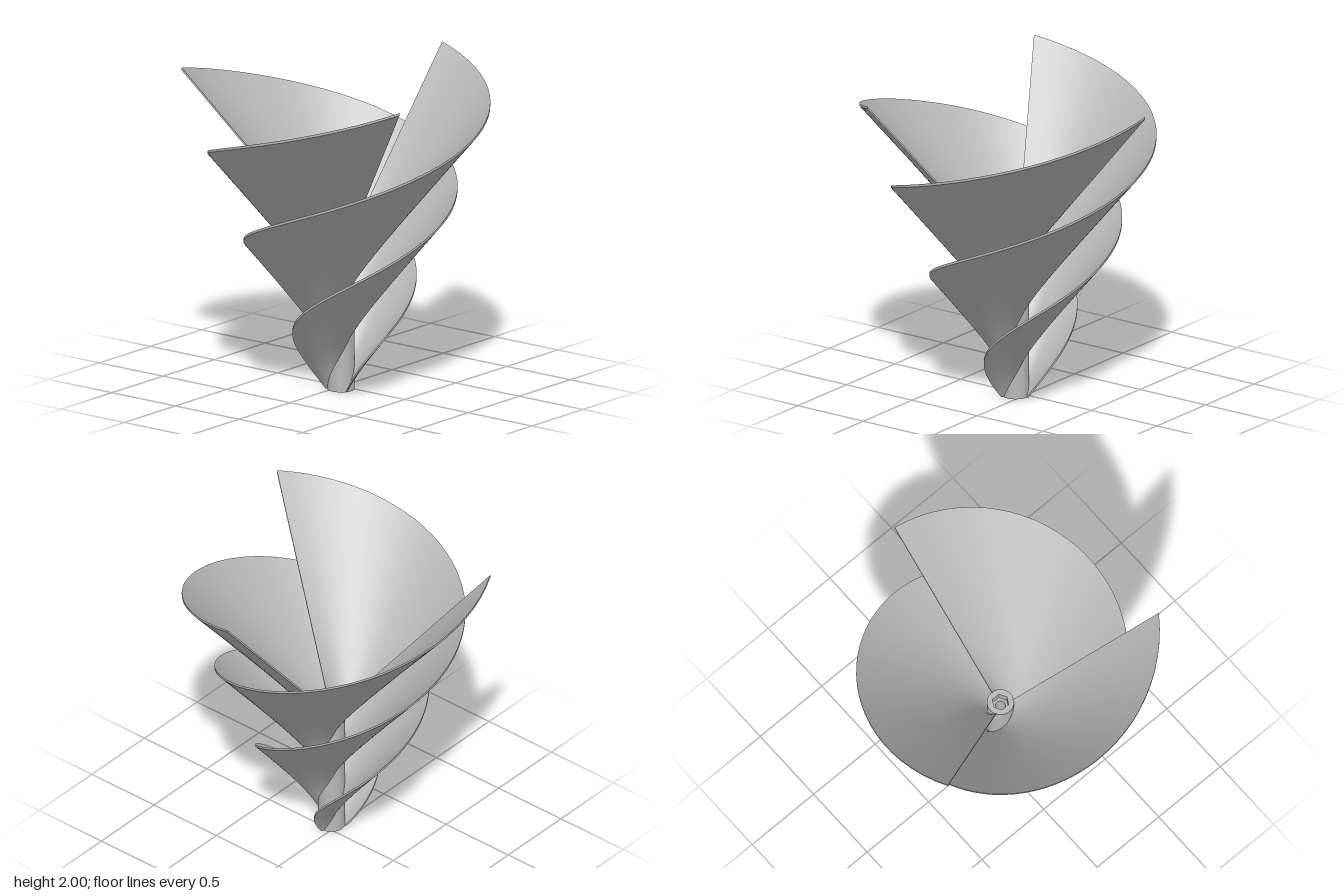
import * as THREE from 'three';
import { toCreasedNormals } from 'three/addons/utils/BufferGeometryUtils.js';

const TURN = Math.PI * 2;
const HUB_R = 0.083, HUB_H = 0.92; // hub radius and height
const SPAN = 0.907;                // blade width at its top end
const SLOPE = 1.18;                // rise of the blade per unit of radius
const THICK = 0.016;               // vertical thickness of the blade

// Smooth surface from fn(u, v, target), front side along dv x du
function surface(fn, nu, nv, flip = false) {
  const pos = [], idx = [], p = new THREE.Vector3();
  for (let i = 0; i <= nu; i++)
    for (let j = 0; j <= nv; j++) {
      fn(i / nu, j / nv, p);
      pos.push(p.x, p.y, p.z);
    }
  for (let i = 0; i < nu; i++)
    for (let j = 0; j < nv; j++) {
      const a = i * (nv + 1) + j, b = a + nv + 1;
      if (flip) idx.push(a, b, a + 1, a + 1, b, b + 1);
      else idx.push(a, a + 1, b, a + 1, b + 1, b);
    }
  const g = new THREE.BufferGeometry();
  g.setAttribute('position', new THREE.Float32BufferAttribute(pos, 3));
  g.setIndex(idx);
  g.computeVertexNormals();
  return g;
}

// Point on the blade: t runs from foot to top end, s from hub to rim
function bladePoint(t, s, drop, p) {
  const width = SPAN * (0.82 * Math.sqrt(t) + 0.18 * t);
  const inset = -0.01; // root sinks slightly into the hub
  const w = inset + (width - inset) * s;
  const r = HUB_R + w, a = TURN * (1 - t);
  const y = HUB_H * t + SLOPE * w + (2 - HUB_H - SLOPE * SPAN) * t;
  p.set(r * Math.cos(a), Math.max(0, y - drop), r * Math.sin(a));
}

function makeBlade(material) {
  const blade = new THREE.Group();
  const add = (name, g) => {
    const m = new THREE.Mesh(g, material);
    m.name = name;
    blade.add(m);
  };
  // u is squared so that the steep foot gets more sections
  add('bladeUpperFace', surface((u, v, p) => bladePoint(u * u, v, 0, p), 140, 16));
  add('bladeLowerFace', surface((u, v, p) => bladePoint(u * u, v, THICK, p), 140, 16, true));
  add('bladeRim', surface((u, v, p) => bladePoint(u * u, 1, THICK * v, p), 140, 1));
  add('bladeEnd', surface((u, v, p) => bladePoint(1, u, THICK * v, p), 16, 1, true));
  return blade;
}

// One ring of the hub, bored round or six-sided
function hubRing(y0, y1, sides, boreR) {
  const shape = new THREE.Shape().absarc(0, 0, HUB_R, 0, TURN, false);
  const bore = [];
  for (let i = 0; i < sides; i++) {
    const a = Math.PI / 2 - (i / sides) * TURN;
    bore.push(new THREE.Vector2(boreR * Math.cos(a), boreR * Math.sin(a)));
  }
  shape.holes.push(new THREE.Path(bore));
  const g = new THREE.ExtrudeGeometry(shape, { depth: y1 - y0, bevelEnabled: false, curveSegments: 32 });
  g.rotateX(-Math.PI / 2).translate(0, y0, 0);
  return toCreasedNormals(g, 0.6);
}

export function createModel() {
  const model = new THREE.Group();
  model.name = 'spiralRotor';
  const grey = new THREE.MeshStandardMaterial({ color: 0xb8b8b8, side: THREE.DoubleSide });
  grey.name = 'light grey';

  const rotor = new THREE.Group();
  rotor.name = 'rotor';
  rotor.position.set(-0.05, 0, 0.04);
  model.add(rotor);

  // Hub: round bore with a six-sided pocket at each end
  const hub = new THREE.Group();
  hub.name = 'hub';
  const rings = [
    ['lowerPocket', 0, 0.06, 6, 0.052],
    ['hubTube', 0.06, HUB_H - 0.06, 32, 0.03],
    ['upperPocket', HUB_H - 0.06, HUB_H, 6, 0.052],
  ];
  for (const [name, ...size] of rings) {
    const m = new THREE.Mesh(hubRing(...size), grey);
    m.name = name;
    hub.add(m);
  }
  rotor.add(hub);

  // Three equal blades, each one full turn
  for (let i = 0; i < 3; i++) {
    const blade = makeBlade(grey);
    blade.name = 'blade' + (i + 1);
    blade.rotation.y = (-i * TURN) / 3;
    rotor.add(blade);
  }
  return model;
}
